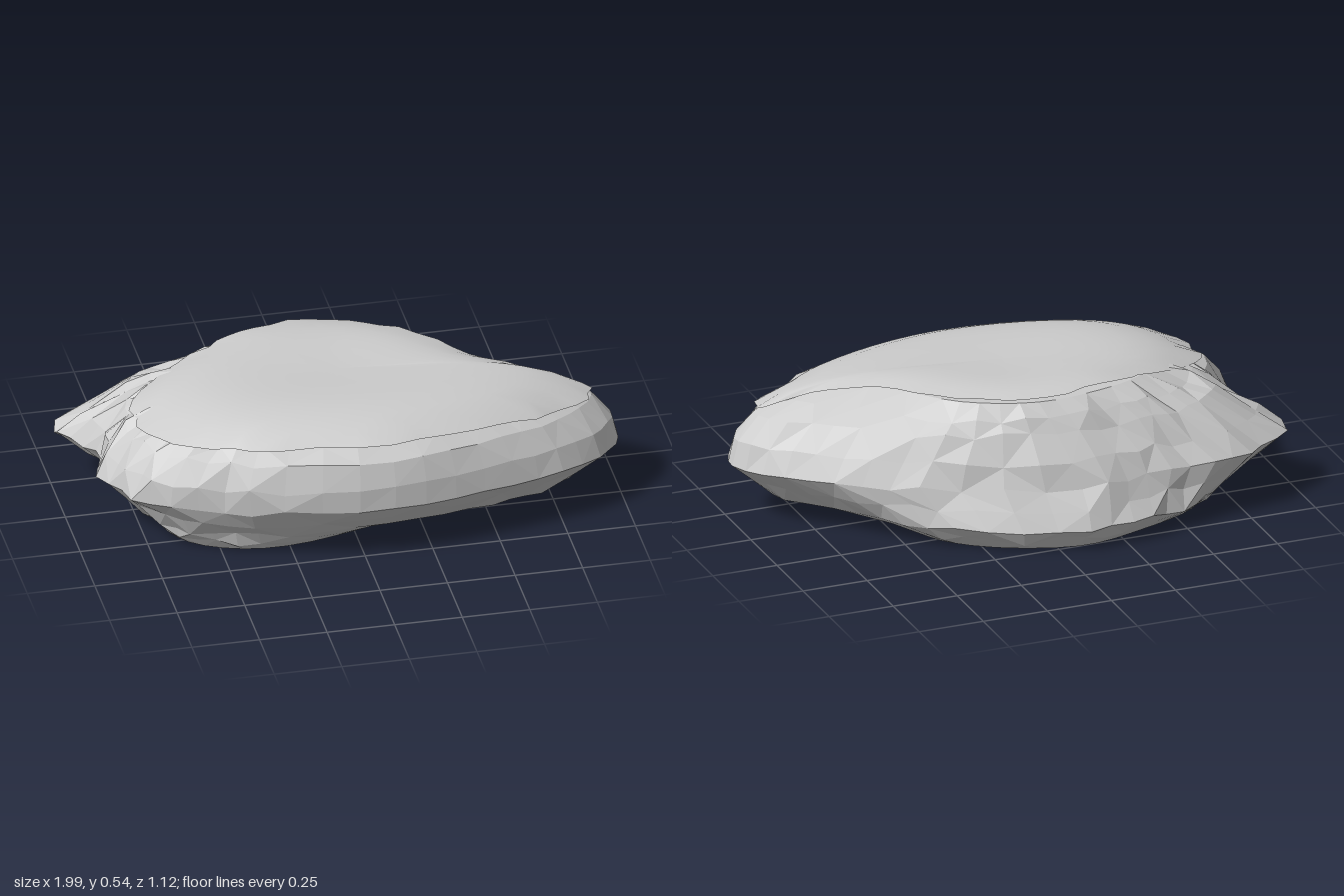
import * as THREE from 'three';

const SIDES = 56;

// small repeatable noise in -1..1
const noise = (i, j) => {
  const s = Math.sin(i * 127.1 + j * 311.7) * 43758.5453;
  return 2 * (s - Math.floor(s)) - 1;
};

// smooth closed ring sampled through [x, z] (or [x, z, y]) control points
function ring(points, y) {
  const pts = points.map(p => new THREE.Vector3(p[0], p[2] ?? y, p[1]));
  const curve = new THREE.CatmullRomCurve3(pts, true);
  return Array.from({ length: SIDES }, (_, j) => curve.getPoint(j / SIDES));
}

const centreRing = (x, y, z) => Array.from({ length: SIDES }, () => new THREE.Vector3(x, y, z));

// skin a stack of rings
function loft(rings) {
  const pos = [], index = [];
  rings.forEach(r => r.forEach(p => pos.push(p.x, p.y, p.z)));
  for (let i = 0; i < rings.length - 1; i++) {
    for (let j = 0; j < SIDES; j++) {
      const k = (j + 1) % SIDES;
      const a = i * SIDES + j, b = i * SIDES + k, c = a + SIDES, d = b + SIDES;
      if ((i + j) % 2) index.push(a, c, b, b, c, d);
      else index.push(a, c, d, a, d, b);
    }
  }
  const g = new THREE.BufferGeometry();
  g.setAttribute('position', new THREE.Float32BufferAttribute(pos, 3));
  g.setIndex(index);
  g.computeVertexNormals();
  return g;
}

// outlines of the boulder by height, from the right tip round the front
const outlines = [
  { y: 0, p: [[.22, 0], [.2, .1], [.12, .2], [0, .31], [-.35, .37], [-.6, .27], [-.68, .1],
    [-.69, -.05], [-.69, -.2], [-.58, -.34], [-.36, -.44], [-.08, -.5], [.28, -.35], [.4, -.18]] },
  { y: .08, p: [[.84, .18], [.74, .3], [.5, .37], [.1, .43], [-.38, .42], [-.66, .29], [-.75, .11],
    [-.74, -.06], [-.76, -.22], [-.64, -.41], [-.42, -.51], [-.1, -.565], [.36, -.38], [.62, -.1]] },
  { y: .22, p: [[1, .18], [.9, .36], [.55, .48], [.1, .555], [-.42, .49], [-.76, .34], [-.9, .12],
    [-.87, -.08], [-1, -.25], [-.77, -.44], [-.44, -.47], [-.1, -.49], [.45, -.28], [.8, -.06]] },
  { y: .4, p: [[.9, .18], [.8, .33], [.52, .44], [.1, .53], [-.4, .45], [-.69, .31], [-.79, .1],
    [-.76, -.06], [-.74, -.21], [-.58, -.33], [-.36, -.37], [-.04, -.38], [.34, -.25], [.68, -.01]] },
  { y: .5, p: [[.64, .18], [.56, .26], [.36, .32], [.08, .39], [-.32, .34], [-.5, .23], [-.58, .1],
    [-.56, -.02], [-.53, -.12], [-.42, -.22], [-.25, -.28], [0, -.3], [.26, -.19], [.45, .02]] },
];

// faceted boulder with a flat base
function boulderGeometry() {
  const main = outlines.map(o => ring(o.p, o.y));
  const rings = [centreRing(-.15, 0, 0)];
  main.forEach((r, i) => {
    rings.push(r);
    if (i === main.length - 1) return;
    // in-between rings, bulged a little on the upper half
    const bulge = i > 1 ? 1.025 : 1;
    rings.push(r.map((p, j) => {
      const m = p.clone().lerp(main[i + 1][j], .5);
      return m.set(m.x * bulge, m.y, m.z * bulge);
    }));
  });
  rings.forEach((r, i) => {
    if (i < 2 || i === rings.length - 1) return;
    r.forEach((p, j) => {
      // the rear and left are rougher than the front right
      const rough = j > 14 && j < 50 ? .018 : .006;
      const s = 1 + rough * noise(i, j);
      p.x = THREE.MathUtils.clamp(p.x * s, -1, 1);
      p.z = THREE.MathUtils.clamp(p.z * s, -.565, .56);
      p.y += rough * .9 * noise(j + 9, i);
    });
  });
  rings.push(centreRing(0, .5, .05));
  return loft(rings);
}

// thin smooth crust: drapes over the front, overhangs the back
const crustEdge = [[.9, .2, .42], [.78, .34, .42], [.5, .44, .45], [.1, .5, .46], [-.4, .43, .45],
  [-.65, .3, .44], [-.76, .08, .43], [-.66, -.12, .46], [-.42, -.23, .51], [-.25, -.3, .53],
  [.05, -.31, .52], [.27, -.2, .52], [.5, .02, .51], [.7, .13, .48]];

function crustGeometry() {
  const edge = ring(crustEdge, 0);
  const rings = [];
  for (let i = 0; i <= 8; i++) {
    const t = 1 - i / 8;
    rings.push(edge.map((e, j) => {
      const s = t * (i === 0 ? 1 + .03 * noise(j, 3) : 1);
      const y = e.y + (.555 - e.y) * (1 - t ** 4) - .025 * (1 - t * t) ** 2;
      return new THREE.Vector3(e.x * s, y, .05 + (e.z - .05) * s);
    }));
  }
  return loft(rings);
}

export function createModel() {
  const model = new THREE.Group();
  model.name = 'rock';
  const boulder = new THREE.Mesh(boulderGeometry(),
    new THREE.MeshStandardMaterial({ color: 0xcccccc, flatShading: true }));
  boulder.name = 'boulder';
  const crust = new THREE.Mesh(crustGeometry(),
    new THREE.MeshStandardMaterial({ color: 0xcccccc, side: THREE.DoubleSide }));
  crust.name = 'topCrust';
  model.add(boulder, crust);
  return model;
}
